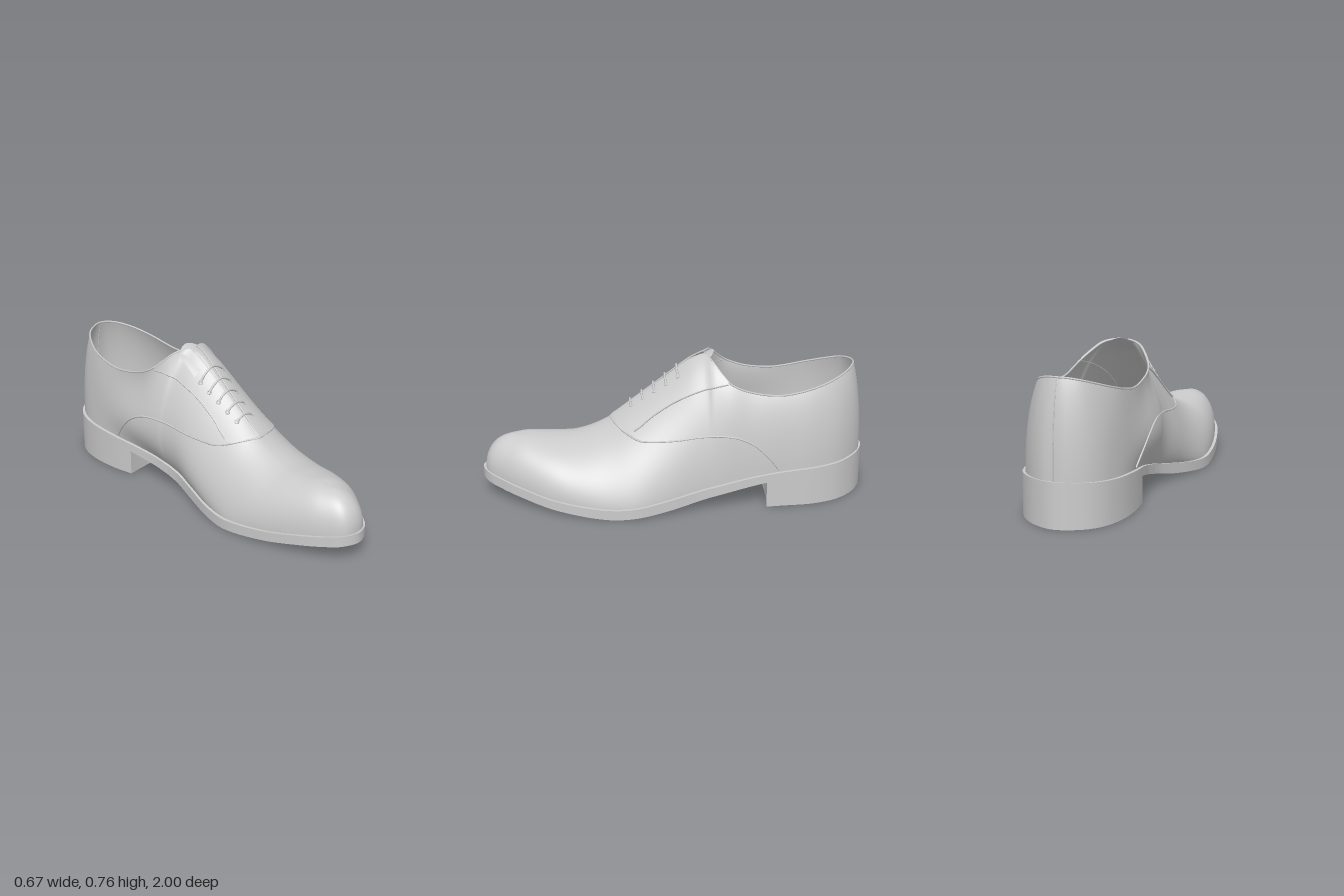
import * as THREE from 'three';
import { mergeVertices } from 'three/addons/utils/BufferGeometryUtils.js';

const V = (x, y, z) => new THREE.Vector3(x, y, z);
const lerp = THREE.MathUtils.lerp;
const clamp = THREE.MathUtils.clamp;
const material = new THREE.MeshStandardMaterial({ color: 0xcccccc, side: THREE.DoubleSide });
const CX = -0.07; // the instep runs along this x

// Smooth interpolation through [key, value] pairs with rising keys
function smooth(keys) {
  const slope = i => {
    const a = keys[Math.max(0, i - 1)], b = keys[Math.min(keys.length - 1, i + 1)];
    return (b[1] - a[1]) / (b[0] - a[0]);
  };
  return z => {
    z = clamp(z, keys[0][0], keys[keys.length - 1][0]);
    let i = 0;
    while (i < keys.length - 2 && z > keys[i + 1][0]) i++;
    const [a, p] = keys[i], [b, q] = keys[i + 1], d = b - a, u = (z - a) / d;
    const u2 = u * u, u3 = u2 * u;
    return p * (2 * u3 - 3 * u2 + 1) + q * (3 * u2 - 2 * u3) +
      d * (slope(i) * (u3 - 2 * u2 + u) + slope(i + 1) * (u3 - u2));
  };
}

const soleTop = smooth([[-1, 0.22], [-0.8, 0.207], [-0.6, 0.195], [-0.4, 0.17], [-0.2, 0.13], [0, 0.09],
  [0.2, 0.06], [0.35, 0.052], [0.6, 0.073], [0.8, 0.108], [1, 0.141]]);
const soleBottom = smooth([[-1, 0.17], [-0.6, 0.155], [-0.45, 0.135], [-0.2, 0.08], [0, 0.035], [0.2, 0.008],
  [0.35, 0], [0.6, 0.024], [0.8, 0.058], [1, 0.088]]);

// Sole outline, toe to heel: z, x on each side
const outlineKeys = [
  [1, -0.07, -0.07], [0.967, 0.013, -0.15], [0.9, 0.079, -0.198], [0.8, 0.155, -0.245], [0.65, 0.24, -0.291],
  [0.5, 0.292, -0.322], [0.35, 0.324, -0.337], [0.2, 0.333, -0.318], [0.05, 0.3, -0.28], [-0.08, 0.265, -0.25],
  [-0.16, 0.25, -0.245], [-0.2, 0.246, -0.247], [-0.28, 0.238, -0.255], [-0.4, 0.226, -0.28], [-0.55, 0.212, -0.308],
  [-0.7, 0.198, -0.314], [-0.83, 0.155, -0.29], [-0.92, 0.085, -0.24], [-0.975, 0.005, -0.165], [-1, -0.08, -0.08]];
// Upper edge of the leather (instep ridge, then collar): z, y, x on each side
const topKeys = [
  [0.8, 0.32, CX, CX], [0.79, 0.32, CX, CX], [0.77, 0.322, CX, CX], [0.73, 0.325, CX, CX], [0.63, 0.319, CX, CX],
  [0.5, 0.325, CX, CX], [0.35, 0.39, CX, CX], [0.2, 0.5, CX, CX], [0.05, 0.615, CX, CX], [-0.08, 0.715, CX, CX],
  [-0.16, 0.745, -0.045, -0.095], [-0.2, 0.728, 0.03, -0.175], [-0.28, 0.645, 0.115, -0.253],
  [-0.4, 0.597, 0.128, -0.272], [-0.55, 0.583, 0.132, -0.282], [-0.7, 0.61, 0.118, -0.275],
  [-0.81, 0.642, 0.08, -0.238], [-0.885, 0.668, 0.025, -0.19], [-0.922, 0.682, -0.03, -0.13], [-0.935, 0.685, -0.08, -0.08]];
// Per section: arc angle, fullness over the arch on the inner side, and steepness of the slope
const arcKeys = [1.571, 1.571, 1.571, 1.571, 1.571, 1.571, 1.571, 1.571, 1.571, 1.571, 1.5, 1.3, 1.1, 0.9, 0.8, 0.8, 0.8, 0.8, 0.8, 0.8];
const archKeys = [0, 0, 0, 0, 0, 0, 0, 0.02, 0.05, 0.065, 0.07, 0.07, 0.065, 0.045, 0.015, 0, 0, 0, 0, 0];
const slopeKeys = [0.9, 0.9, 0.9, 0.9, 0.95, 1.05, 1.22, 1.33, 1.28, 1.18, 1.12, 1.08, 1, 0.93, 0.9, 0.9, 0.9, 0.9, 0.9, 0.9];

// Closed loop down the +x side and back up the -x side
function loop(point) {
  const pts = [];
  for (let i = 0; i < 20; i++) pts.push(point(i, 1));
  for (let i = 18; i > 0; i--) pts.push(point(i, -1));
  return new THREE.CatmullRomCurve3(pts, true, 'catmullrom', 0.5);
}
const pick = (row, s, n) => row[s > 0 ? n : n + 1];
const outline = loop((i, s) => V(pick(outlineKeys[i], s, 1), 0, outlineKeys[i][0]));
const baseLoop = loop((i, s) => V(pick(outlineKeys[i], s, 1) - (i % 19 ? s * 0.016 : 0), 0, clamp(outlineKeys[i][0], -0.985, 0.985)));
const topLoop = loop((i, s) => V(pick(topKeys[i], s, 2), topKeys[i][1], topKeys[i][0]));
const shapeLoop = loop((i, s) => V(arcKeys[i], s < 0 ? archKeys[i] : 0, slopeKeys[i]));

function column(t) {
  const B = baseLoop.getPoint(t), T = topLoop.getPoint(t), K = shapeLoop.getPoint(t);
  B.y = soleTop(B.z) - 0.004;
  return { B, T, arc: Math.min(K.x, Math.PI / 2), bulge: K.y, e: K.z };
}
const cosE = (a, e) => Math.pow(Math.max(0, Math.cos(a)), e);
const sinE = (a, e) => Math.pow(Math.sin(a), e);

// Point on the leather: t round the loop, f from sole to top edge
function skin(t, f) {
  const { B, T, arc, bulge, e } = column(t);
  const h = (1 - cosE(f * arc, e)) / (1 - cosE(arc, e)), v = sinE(f * arc, e) / sinE(arc, e);
  const swell = bulge * Math.sin(Math.PI * (1 - f) ** 2);
  return V(lerp(B.x, T.x, h) - swell, lerp(B.y, T.y, v), lerp(B.z, T.z, h));
}
function raised(t, f, lift) {
  const p = skin(t, f);
  const du = skin(t + 0.002, f).sub(skin(t - 0.002, f));
  const dv = skin(t, Math.min(1, f + 0.02)).sub(skin(t, Math.max(0, f - 0.02)));
  const n = du.cross(dv).normalize();
  if (n.dot(V(p.x - CX, p.y - 0.2, 0)) < 0) n.negate();
  return p.addScaledVector(n, lift);
}
// Largest value in a range for which a test still holds
function bisect(a, b, test) {
  for (let i = 0; i < 30; i++) {
    const m = (a + b) / 2;
    if (test(m)) a = m; else b = m;
  }
  return a;
}
function tAt(z, s = 1) {
  const t = bisect(0, 0.5, m => baseLoop.getPoint(m).z > z);
  return s > 0 ? t : 1 - t;
}
const fAtHeight = (t, y) => bisect(0, 1, f => skin(t, f).y < y);
// Height fraction at a given sideways distance from the instep line
const fAtOffset = (t, g) => bisect(0, 1, f => Math.abs(skin(t, f).x - CX) > g);

function grid(fn, nu, nv) {
  const pos = [], idx = [];
  for (let i = 0; i <= nu; i++) for (let j = 0; j <= nv; j++) pos.push(...fn(i / nu, j / nv).toArray());
  for (let i = 0; i < nu; i++) for (let j = 0; j < nv; j++) {
    const a = i * (nv + 1) + j, b = a + nv + 1;
    idx.push(a, b, a + 1, b, b + 1, a + 1);
  }
  let g = new THREE.BufferGeometry();
  g.setAttribute('position', new THREE.Float32BufferAttribute(pos, 3));
  g.setIndex(idx);
  g = mergeVertices(g, 1e-5);
  g.computeVertexNormals();
  return g;
}

export function createModel() {
  const group = new THREE.Group();
  const add = (name, geometry) => {
    const m = new THREE.Mesh(geometry, material);
    m.name = name;
    group.add(m);
    return m;
  };
  const cord = (name, pts, r) =>
    add(name, new THREE.TubeGeometry(new THREE.CatmullRomCurve3(pts), pts.length * 6, r, 6));

  // Sole: edge wall, top and bottom
  const across = (t, v) => outline.getPoint(t).lerp(outline.getPoint(1 - t), v);
  const atY = (p, y) => V(p.x, y, p.z);
  add('soleEdge', grid((u, v) => {
    const p = outline.getPoint(u % 1);
    return atY(p, lerp(soleBottom(p.z), soleTop(p.z), v));
  }, 200, 2));
  for (const [name, height] of [['soleTop', soleTop], ['soleBottom', soleBottom]])
    add(name, grid((u, v) => { const p = across(u / 2, v); return atY(p, height(p.z)); }, 100, 8));

  // Heel block with a slanted, hollowed front face
  const heelA = tAt(-0.468), heelB = tAt(-0.435, -1);
  const heelPlan = (u, v) => {
    const p = outline.getPoint(lerp(heelA, 0.5, u)).lerp(outline.getPoint(lerp(heelB, 0.5, u)), v);
    p.z -= 0.025 * (1 - (2 * v - 1) ** 2) * (1 - u);
    return p;
  };
  add('heelWall', grid((u, v) => {
    const p = outline.getPoint(lerp(heelA, heelB, u));
    return atY(p, v * (soleBottom(p.z) + 0.002));
  }, 100, 1));
  add('heelFront', grid((u, v) => { const p = heelPlan(0, u); return atY(p, v * (soleBottom(p.z) + 0.002)); }, 16, 1));
  add('heelBottom', grid((u, v) => atY(heelPlan(u, v), 0), 50, 12));

  // Leather upper and piped collar
  add('upper', grid((u, v) => skin(u % 1, v), 228, 28));
  const collar = [];
  for (let i = 20; i <= 56; i++) collar.push(topLoop.getPoint(i / 76));
  cord('collarPiping', collar, 0.005);

  // Tongue
  add('tongue', grid((u, v) => {
    const w = 2 * v - 1;
    return V(CX - 0.005 + 0.085 * w, 0.68 + 0.079 * u - 0.04 * w * w, -0.05 - 0.16 * u + 0.045 * w * w * u);
  }, 10, 14));

  // Lace facings, with seams on both sides
  const facingLow = smooth([[-0.275, 0.642], [-0.2, 0.625], [-0.1, 0.59], [0, 0.54], [0.1, 0.475], [0.235, 0.383], [0.33, 0.415]]);
  const gap = z => lerp(0.024, 0.003, clamp((z + 0.16) / 0.45, 0, 1));
  const vampSeam = [[0.33, 0.42], [0.29, 0.395], [0.24, 0.377], [0.18, 0.36], [0.1, 0.363], [0, 0.372], [-0.15, 0.39],
    [-0.3, 0.385], [-0.4, 0.34], [-0.48, 0.265], [-0.53, 0.2]];
  for (const s of [1, -1]) {
    const name = s > 0 ? 'left' : 'right';
    const facing = (u, v, lift) => {
      const z = lerp(0.32, -0.27, u), t = tAt(z, s);
      const high = fAtOffset(t, gap(z));
      return raised(t, lerp(Math.min(high, fAtHeight(t, facingLow(z))), high, v), lift);
    };
    add(name + 'Facing', grid((u, v) => facing(u, v, 0.007), 40, 10));
    const low = [], high = [];
    for (let i = 0; i <= 16; i++) {
      if (i > 2) low.push(facing(i / 16, 0, 0.003));
      high.push(facing(i / 16, 1, 0.004));
    }
    cord(name + 'FacingSeam', low, 0.005);
    cord(name + 'FacingEdge', high, 0.004);
    cord(name + 'VampSeam', vampSeam.map(([z, y]) => {
      const t = tAt(z, s);
      return raised(t, fAtHeight(t, y), 0.002);
    }), 0.005);
  }
  cord('backSeam', [0, 0.25, 0.5, 0.75, 1].map(f => skin(0.5, f)), 0.003);

  // Laces and eyelets
  for (let i = 0; i < 5; i++) {
    const z = lerp(-0.025, 0.215, i / 4), half = lerp(0.072, 0.046, i / 4);
    const ends = [1, -1].map(s => {
      const t = tAt(z, s), f = fAtOffset(t, half);
      const p = raised(t, f, 0.008), n = raised(t, f, 0.03).sub(p).normalize();
      const ring = add('eyelet', new THREE.TorusGeometry(0.01, 0.003, 6, 14));
      ring.position.copy(p);
      ring.quaternion.setFromUnitVectors(V(0, 0, 1), n);
      return p;
    });
    // The lace rides just above the facings
    const over = [1, 0, -1].map(k => {
      const t = tAt(z, k < 0 ? -1 : 1);
      return raised(t, fAtOffset(t, Math.abs(k) * half * 0.55), 0.014);
    });
    cord('lace', [ends[0], ...over, ends[1]], 0.006);
  }
  return group;
}
